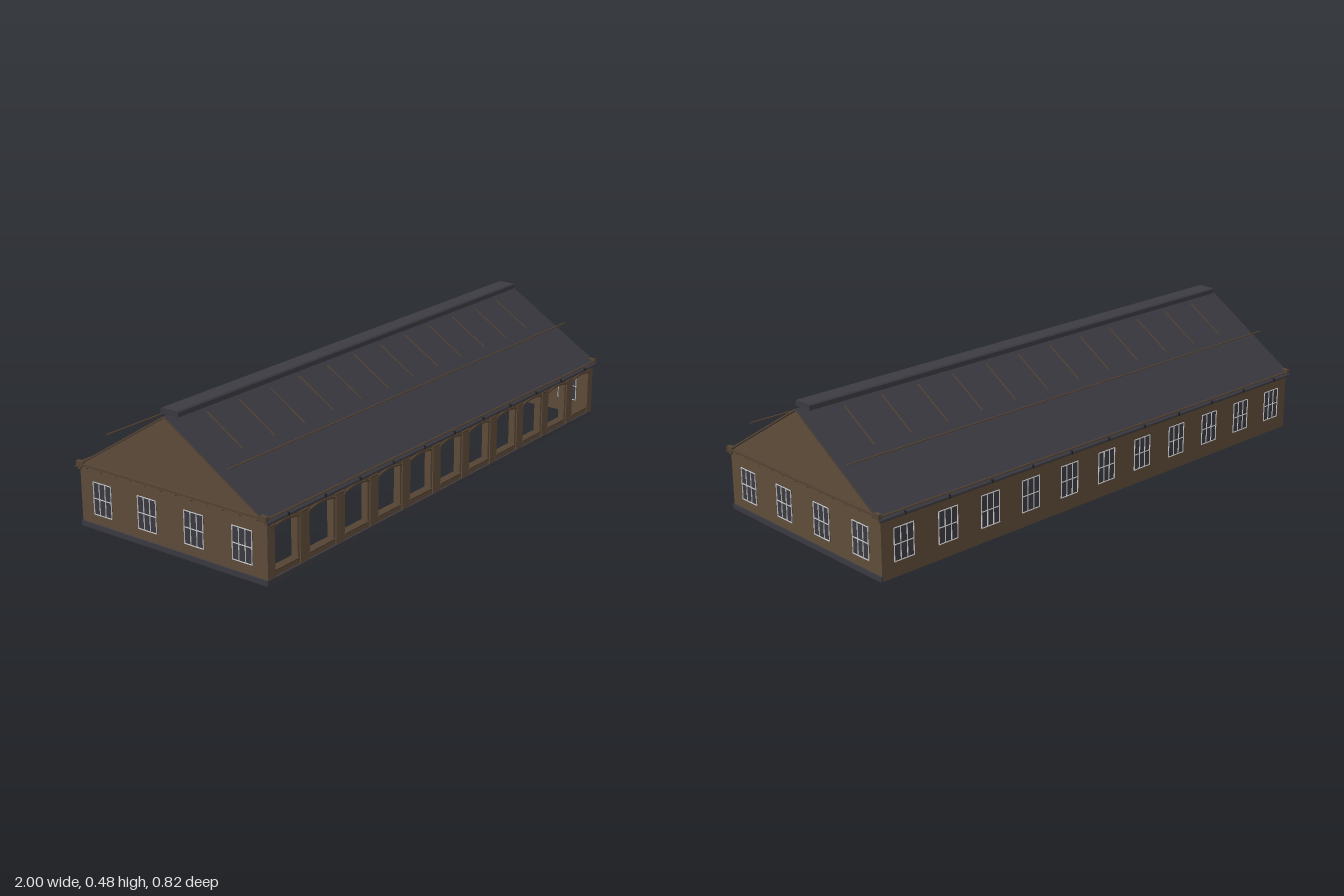
import * as THREE from 'three';

const mat = (name, color) => {
  const m = new THREE.MeshStandardMaterial({ color });
  m.name = name;
  return m;
};

export function createModel() {
  const wall = mat('brown wall', 0x5f4d3b);
  const trim = mat('dark brown trim', 0x544333);
  const slate = mat('slate', 0x3c3b43);
  const white = mat('window frame white', 0xc8c8c8);
  const iron = mat('dark iron', 0x222226);
  const timber = mat('timber', 0x594634);

  const root = new THREE.Group();
  root.name = 'longHall';

  const add = (name, geo, material, parent = root) => {
    const m = new THREE.Mesh(geo, material);
    m.name = name;
    parent.add(m);
    return m;
  };
  const box = (name, w, h, d, x, y, z, material, parent = root) => {
    const m = add(name, new THREE.BoxGeometry(w, h, d), material, parent);
    m.position.set(x, y, z);
    return m;
  };
  // square bar between two (z, y) points at a given x
  const bar = (name, x, z0, y0, z1, y1, t, material, parent) => {
    const m = box(name, t, t, Math.hypot(z1 - z0, y1 - y0), x, (y0 + y1) / 2, (z0 + z1) / 2, material, parent);
    m.rotation.x = -Math.atan2(y1 - y0, z1 - z0);
    return m;
  };
  // profile given as (z, y) points, swept along x
  const sweep = (pts, x0, x1) => {
    const s = new THREE.Shape(pts.map(([z, y]) => new THREE.Vector2(-z, y)));
    const g = new THREE.ExtrudeGeometry(s, { depth: x1 - x0, bevelEnabled: false });
    return g.rotateY(Math.PI / 2).translate(x0, 0, 0);
  };

  const RIDGE = 0.463, SLOPE = 0.625, BAY = 0.1795;
  const roofY = z => RIDGE - SLOPE * Math.abs(z);
  const bays = Array.from({ length: 11 }, (_, i) => (i - 5) * BAY);

  // front wall: arcade with shallow arched openings
  const front = new THREE.Shape();
  front.moveTo(-0.984, 0).lineTo(0.984, 0).lineTo(0.984, 0.206).lineTo(-0.984, 0.206).closePath();
  for (const x of bays) {
    const h = new THREE.Path();
    h.moveTo(x - 0.06, 0.04).lineTo(x - 0.06, 0.176);
    h.quadraticCurveTo(x, 0.196, x + 0.06, 0.176);
    h.lineTo(x + 0.06, 0.04).closePath();
    front.holes.push(h);
  }
  add('frontWall', new THREE.ExtrudeGeometry(front, { depth: 0.025, bevelEnabled: false, curveSegments: 6 })
    .translate(0, 0, 0.365), wall);

  // arched hoods, sills and panels around each opening
  for (const x of bays) {
    const s = new THREE.Shape();
    s.moveTo(x - 0.066, 0.176).quadraticCurveTo(x, 0.196, x + 0.066, 0.176);
    s.lineTo(x + 0.066, 0.182).quadraticCurveTo(x, 0.204, x - 0.066, 0.182).closePath();
    add('archHood', new THREE.ExtrudeGeometry(s, { depth: 0.005, bevelEnabled: false, curveSegments: 6 })
      .translate(0, 0, 0.39), trim);
    box('openingSill', 0.126, 0.005, 0.03, x, 0.0385, 0.38, trim);
  }
  for (let i = 0; i <= 11; i++) {
    const end = i === 0 || i === 11;
    const x = end ? Math.sign(i - 5) * 0.967 : (i - 5.5) * BAY;
    box('pilaster', end ? 0.034 : 0.04, 0.17, 0.004, x, 0.102, 0.392, wall);
    box('pilasterCapital', end ? 0.036 : 0.046, 0.005, 0.006, x, 0.189, 0.393, trim);
  }

  // back wall and end gables
  box('backWall', 1.968, 0.206, 0.02, 0, 0.103, -0.384, wall);
  const gable = [[0.394, 0], [-0.394, 0], [-0.394, 0.212], [0, 0.457], [0.394, 0.212]];
  add('leftGable', sweep(gable, 0.967, 0.985), wall);
  add('rightGable', sweep(gable, -0.985, -0.967), wall);

  // slate plinth
  box('frontPlinth', 1.974, 0.018, 0.007, 0, 0.009, 0.3925, slate);
  for (const s of [-1, 1]) box('gablePlinth', 0.005, 0.018, 0.792, s * 0.987, 0.009, 0, slate);

  // windows: dark panes showing on both faces of the wall, with white bars outside and in
  const makeWindow = (x, z, angle, depth) => {
    const g = new THREE.Group();
    g.name = 'window';
    box('pane', 0.079, 0.114, depth + 0.003, 0, 0, 0, slate, g);
    const d = depth + 0.006, t = 0.0022;
    for (const s of [-1, 1]) {
      const f = s * d / 2;
      for (const u of [-0.039, -0.013, 0.013, 0.039]) box('frameUpright', t, 0.114, 0.003, u, 0, f, white, g);
      for (const v of [-0.056, 0, 0.056]) box('frameRail', 0.079, t, 0.003, 0, v, f, white, g);
    }
    g.position.set(x, 0.11, z);
    g.rotation.y = angle;
    root.add(g);
  };
  for (const x of bays) makeWindow(x, -0.384, 0, 0.02);
  for (const s of [-1, 1])
    for (const z of [-0.296, -0.099, 0.099, 0.296]) makeWindow(s * 0.976, z, Math.PI / 2, 0.018);

  // roof: thin slate sheet with brown verge edges
  const e = 0.406, th = 0.006;
  add('roof', sweep([[e, roofY(e)], [e, roofY(e) - th], [0, RIDGE - th], [-e, roofY(e) - th], [-e, roofY(e)], [0, RIDGE]],
    -0.998, 0.998), [timber, slate]);

  // ridge ventilator
  add('ridgeCap', sweep([[0.036, 0.458], [0.036, 0.474], [0.03, 0.478], [-0.03, 0.478], [-0.036, 0.474], [-0.036, 0.458]],
    -0.972, 0.968), slate);

  // eaves, gable cornices, gutters and roof rails
  for (const s of [-1, 1]) {
    box('eavesCornice', 1.98, 0.008, 0.014, 0, 0.202, s * 0.394, trim);
    box('gableCornice', 0.012, 0.007, 0.804, s * 0.99, 0.2185, 0, trim);
    box('gableCorniceLower', 0.007, 0.006, 0.8, s * 0.988, 0.212, 0, wall);
    for (const q of [-1, 1]) box('corniceReturn', 0.014, 0.018, 0.03, s * 0.99, 0.219, q * 0.386, trim);
    for (let z = -0.36; z < 0.37; z += 0.065) box('corniceBlock', 0.004, 0.003, 0.005, s * 0.987, 0.207, z, iron);

    const gutter = add('gutter', new THREE.CylinderGeometry(0.003, 0.003, 1.99, 6), timber);
    gutter.rotation.z = Math.PI / 2;
    gutter.position.set(0, 0.2195, s * 0.398);
    for (let i = -5; i <= 5; i++) box('gutterBracket', 0.005, 0.012, 0.006, i * BAY, 0.21, s * 0.406, iron);

    const rail = add('roofRail', new THREE.CylinderGeometry(0.0025, 0.0025, 1.99, 6), timber);
    rail.rotation.z = Math.PI / 2;
    rail.position.set(0, 0.347, s * 0.254);
  }

  // trusses, with the upper battens showing on the roof
  for (let i = 0; i < 12; i++) {
    const x = -0.841 + i * 0.1521;
    const truss = new THREE.Group();
    truss.name = 'truss';
    root.add(truss);
    bar('tieBeam', x, -0.375, 0.207, 0.375, 0.207, 0.005, timber, truss);
    bar('kingPost', x, 0, 0.207, 0, 0.45, 0.004, timber, truss);
    for (const s of [-1, 1]) {
      const under = z => roofY(z) - 0.011;
      bar('rafter', x, 0, under(0), s * 0.375, under(0.375), 0.006, timber, truss);
      bar('brace', x, 0, 0.209, s * 0.18, under(0.18), 0.004, timber, truss);
      bar('strut', x, s * 0.18, 0.209, s * 0.18, under(0.18), 0.004, timber, truss);
      bar('outerBrace', x, s * 0.18, 0.209, s * 0.28, under(0.28), 0.004, timber, truss);
      bar('roofBatten', x, s * 0.036, roofY(0.036), s * 0.182, roofY(0.182), 0.004, timber, truss);
    }
  }

  // central posts and hanging lamps
  for (const z of [-0.19, 0, 0.19]) {
    add('post', new THREE.CylinderGeometry(0.005, 0.005, 0.205, 8), iron).position.set(0, 0.1025, z);
  }
  for (let i = -3; i <= 3; i++) {
    add('lamp', new THREE.SphereGeometry(0.005, 8, 6), white).position.set(i * 0.27 + 0.06, 0.2, 0);
  }
  return root;
}
